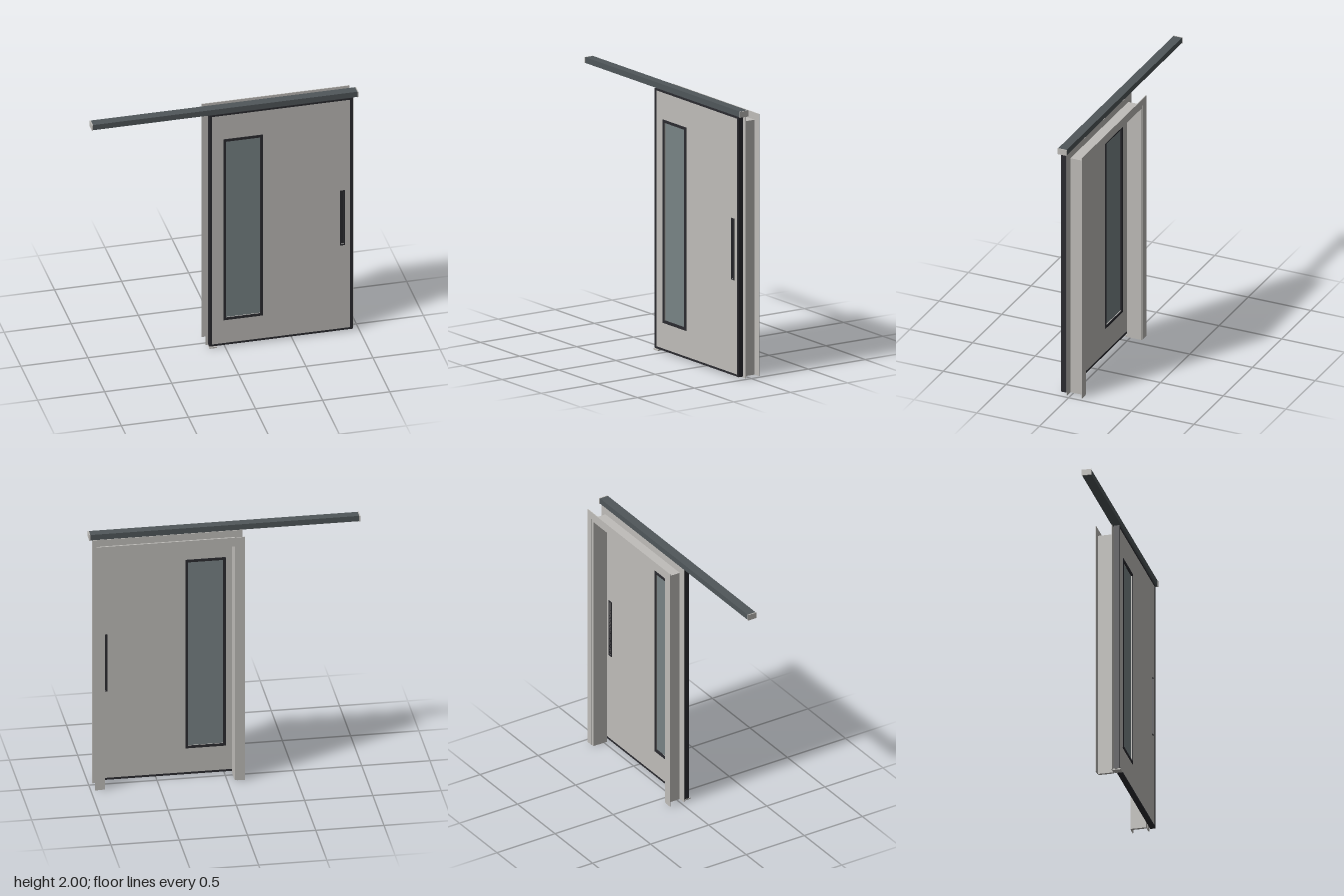
import * as THREE from 'three';

const mat = (name, color) => {
  const m = new THREE.MeshStandardMaterial({ color });
  m.name = name;
  return m;
};

export function createModel() {
  const group = new THREE.Group();
  group.name = 'slidingDoor';
  const grey = mat('warmGrey', 0xbfbdb9);
  const dark = mat('darkTrim', 0x2b2b30);
  const steel = mat('railSteel', 0x50575a);
  const glass = mat('smokedGlass', 0x788385);

  const add = (name, geometry, material) => {
    const mesh = new THREE.Mesh(geometry, material);
    mesh.name = name;
    group.add(mesh);
    return mesh;
  };
  // Box given by its limits on each axis
  const box = (name, material, x0, x1, y0, y1, z0, z1) =>
    add(name, new THREE.BoxGeometry(x1 - x0, y1 - y0, z1 - z0)
      .translate((x0 + x1) / 2, (y0 + y1) / 2, (z0 + z1) / 2), material);
  const rect = (x0, x1, y0, y1) =>
    [[x0, y0], [x1, y0], [x1, y1], [x0, y1]].map(p => new THREE.Vector2(...p));
  // Flat plate from an outline, with optional holes
  const plate = (name, material, points, z0, z1, holes = []) => {
    const shape = new THREE.Shape(points);
    holes.forEach(h => shape.holes.push(new THREE.Path(h)));
    const geo = new THREE.ExtrudeGeometry(shape, { depth: z1 - z0, bevelEnabled: false });
    return add(name, geo.translate(0, 0, z0), material);
  };

  // Overhead rail with end caps
  box('rail', steel, -0.985, 0.985, 1.957, 2, 0.022, 0.09);
  box('railCapRight', grey, -0.993, -0.985, 1.955, 2, 0.02, 0.093);
  box('railCapLeft', grey, 0.985, 0.993, 1.955, 2, 0.02, 0.093);

  // Door leaf with an opening for the window and one for the pull
  const windowHole = rect(0.01, 0.265, 0.24, 1.715);
  const pullHole = rect(0.867, 0.888, 0.732, 1.173);
  plate('doorPanel', grey, rect(-0.095, 0.935, 0.027, 1.935), 0.044, 0.078, [windowHole, pullHole]);
  plate('doorEdgeTrim', dark, rect(-0.115, 0.955, 0.012, 1.949), 0.042, 0.08,
    [rect(-0.095, 0.935, 0.027, 1.935)]);

  // Window
  plate('windowTrim', dark, rect(-0.01, 0.285, 0.22, 1.735), 0.039, 0.083, [windowHole]);
  box('windowGlass', glass, 0.01, 0.265, 0.24, 1.715, 0.05, 0.072);

  // Flush pull, recessed on both sides
  plate('pullRim', dark, rect(0.858, 0.897, 0.723, 1.182), 0.04, 0.082, [pullHole]);
  box('pullRecess', dark, 0.867, 0.888, 0.732, 1.173, 0.05, 0.072);

  // Jamb lining around the opening
  box('jambLiningRight', grey, -0.075, -0.055, 0, 1.9, -0.09, 0.026);
  box('jambLiningLeft', grey, 0.895, 0.915, 0, 1.9, -0.09, 0.026);
  box('headLining', grey, -0.055, 0.895, 1.88, 1.9, -0.09, 0.026);

  // Mitred casing boards on both wall faces
  const [xl, xr, top, w] = [-0.13, 0.97, 1.953, 0.055];
  const poly = pts => pts.map(p => new THREE.Vector2(...p));
  [['back', -0.094, -0.088], ['front', 0.025, 0.031]].forEach(([side, z0, z1]) => {
    plate(side + 'CasingRight', grey,
      poly([[xl, 0], [xl + w, 0], [xl + w, top - w], [xl, top]]), z0, z1);
    plate(side + 'CasingLeft', grey,
      poly([[xr - w, 0], [xr, 0], [xr, top], [xr - w, top - w]]), z0, z1);
    plate(side + 'CasingHead', grey,
      poly([[xl, top], [xl + w, top - w], [xr - w, top - w], [xr, top]]), z0, z1);
  });

  // Floor guide under the door
  box('floorGuide', grey, -0.115, -0.06, 0, 0.01, 0.031, 0.09);

  return group;
}
